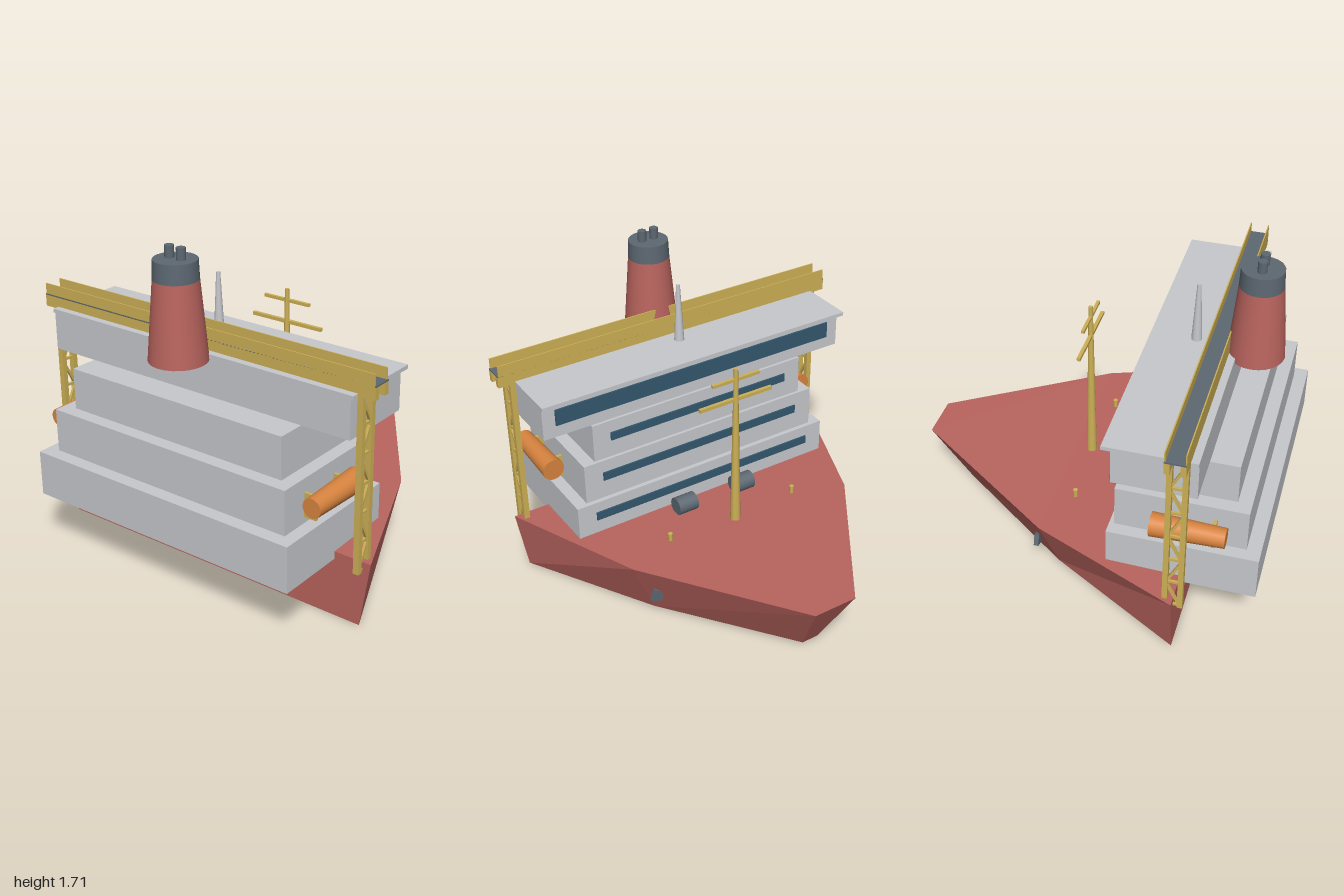
import * as THREE from 'three';

const mat = (name, color, extra = {}) => Object.assign(new THREE.MeshStandardMaterial({ color, ...extra }), { name });

export function createModel() {
  const ship = new THREE.Group();
  ship.name = 'cargoShip';
  const red = mat('hullRed', 0xb9645e);
  const grey = mat('cabinGrey', 0xc6c8cc);
  const yellow = mat('craneYellow', 0xcdb056);
  const orange = mat('lifeboatOrange', 0xd8843f);
  const dark = mat('slateGrey', 0x5d6872);
  const glass = mat('windowBlue', 0x33586f);

  const add = (name, geo, material, x = 0, y = 0, z = 0, parent = ship) => {
    const m = new THREE.Mesh(geo, material);
    m.name = name;
    m.position.set(x, y, z);
    parent.add(m);
    return m;
  };
  // Box given by its limits on each axis
  const box = (name, material, x0, x1, y0, y1, z0, z1, parent) =>
    add(name, new THREE.BoxGeometry(x1 - x0, y1 - y0, z1 - z0), material,
      (x0 + x1) / 2, (y0 + y1) / 2, (z0 + z1) / 2, parent);
  const cyl = (name, material, rTop, rBottom, y0, y1, x, z, sides = 20) =>
    add(name, new THREE.CylinderGeometry(rTop, rBottom, y1 - y0, sides), material, x, (y0 + y1) / 2, z);
  // Square bar between two points
  const bar = (name, a, b, t, parent) => {
    const p = new THREE.Vector3(...a), q = new THREE.Vector3(...b);
    const m = add(name, new THREE.BoxGeometry(t, t, p.distanceTo(q)), yellow, 0, 0, 0, parent);
    m.position.copy(p).add(q).multiplyScalar(0.5);
    m.quaternion.setFromUnitVectors(new THREE.Vector3(0, 0, 1), q.sub(p).normalize());
  };

  // Hull: three cross-sections from stern to bow, [half width, y, z] at deck and at keel
  const sections = [
    { deck: [0.975, 0.345, 0.59], keel: [0.92, 0, 0.59] },
    { deck: [0.67, 0.362, -0.165], keel: [0.53, 0.014, -0.11] },
    { deck: [0.12, 0.382, -0.965], keel: [0.045, 0.026, -0.775] },
  ];
  // Corners run deck right, deck left, keel left, keel right
  const rings = sections.map(({ deck: d, keel: k }) => [
    [d[0], d[1], d[2]], [-d[0], d[1], d[2]], [-k[0], k[1], k[2]], [k[0], k[1], k[2]],
  ]);
  const pos = [];
  const quad = (a, b, c, d) => [a, b, c, a, c, d].forEach((p) => pos.push(...p));
  for (let i = 0; i < 2; i++) {
    for (let j = 0; j < 4; j++) {
      const k = (j + 1) % 4;
      quad(rings[i][j], rings[i + 1][j], rings[i + 1][k], rings[i][k]);
    }
  }
  quad(...rings[0]);
  quad(...[...rings[2]].reverse());
  const hull = new THREE.BufferGeometry();
  hull.setAttribute('position', new THREE.Float32BufferAttribute(pos, 3));
  hull.computeVertexNormals();
  add('hull', hull, red);

  // Stepped cabins, each with a window strip facing the bow
  [
    { w: 0.775, y: [0.305, 0.542], z: [0.215, 0.96], win: [0.67, 0.435, 0.482] },
    { w: 0.71, y: [0.542, 0.768], z: [0.24, 0.89], win: [0.605, 0.65, 0.697] },
    { w: 0.64, y: [0.768, 0.982], z: [0.257, 0.82], win: [0.54, 0.867, 0.913] },
    { w: 0.9, y: [0.982, 1.175], z: [0.272, 0.675], win: [0.83, 1.05, 1.14] },
  ].forEach(({ w, y, z, win }, i) => {
    box(`cabinTier${i + 1}`, grey, -w, w, ...y, ...z);
    box(`windowStrip${i + 1}`, glass, -win[0], win[0], win[1], win[2], z[0] - 0.009, z[0]);
  });
  box('bridgeRoof', grey, -0.912, 0.912, 1.175, 1.195, 0.23, 0.675);
  cyl('radarMast', grey, 0.01, 0.027, 1.19, 1.515, 0, 0.46, 12);

  // Funnel with dark cap and two exhaust pipes
  cyl('funnel', red, 0.109, 0.143, 1.168, 1.56, 0, 0.757, 24);
  cyl('funnelCap', dark, 0.105, 0.109, 1.56, 1.655, 0, 0.757, 24);
  for (const s of [-1, 1]) cyl('exhaustPipe', dark, 0.023, 0.023, 1.65, 1.713, s * 0.035, 0.757, 12);

  // Gantry bridge: two girders, outer rails and a dark walkway
  const gantry = new THREE.Group();
  gantry.name = 'gantry';
  ship.add(gantry);
  for (const [z0, z1, rail] of [[0.537, 0.563, 0.537], [0.612, 0.638, 0.632]]) {
    box('girder', yellow, -1, 1, 1.183, 1.243, z0, z1, gantry);
    box('gantryRail', yellow, -0.995, 0.995, 1.243, 1.305, rail, rail + 0.006, gantry);
  }
  box('walkway', dark, -1, 1, 1.243, 1.25, 0.537, 0.638, gantry);

  for (const s of [-1, 1]) {
    // Lattice tower under each end of the gantry
    const x = s * 0.924, step = 0.147;
    for (const z of [0.55, 0.625]) box('towerLeg', yellow, x - 0.015, x + 0.015, 0.3, 1.185, z - 0.013, z + 0.013, gantry);
    for (let i = 0; i < 6; i++) {
      const y = 0.3 + i * step, [za, zb] = i % 2 ? [0.55, 0.625] : [0.625, 0.55];
      bar('towerBrace', [x, y, za], [x, y + step, zb], 0.013, gantry);
      bar('towerRung', [x, y + 0.007, 0.55], [x, y + 0.007, 0.625], 0.012, gantry);
    }

    // Lifeboat and its two davits
    const boat = add('lifeboat', new THREE.CylinderGeometry(0.049, 0.06, 0.36, 18), orange, s * 0.79, 0.667, 0.62);
    boat.rotation.x = Math.PI / 2;
    const [xa, xb] = s > 0 ? [0.7, 0.775] : [-0.775, -0.7];
    for (const z of [0.505, 0.735]) box('davit', yellow, xa, xb, 0.573, 0.697, z - 0.008, z + 0.008);

    // Deck gear and anchors
    const winch = add('winch', new THREE.CylinderGeometry(0.05, 0.05, 0.115, 18), dark, s * 0.182, 0.397, 0.132);
    winch.rotation.z = Math.PI / 2;
    cyl('bollard', yellow, 0.013, 0.013, 0.355, 0.402, s * 0.387, -0.057, 8);
    const anchor = add('anchor', new THREE.BoxGeometry(0.06, 0.065, 0.025), dark, s * 0.56, 0.18, -0.21);
    anchor.rotation.z = s * 0.3;
  }

  // Foremast with two crossbars
  cyl('foremast', yellow, 0.011, 0.028, 0.35, 1.283, 0, -0.083, 12);
  bar('lowerCrossbar', [-0.215, 1.107, -0.083], [0.215, 1.107, -0.083], 0.018);
  bar('upperCrossbar', [-0.14, 1.222, -0.083], [0.14, 1.222, -0.083], 0.016);

  return ship;
}
